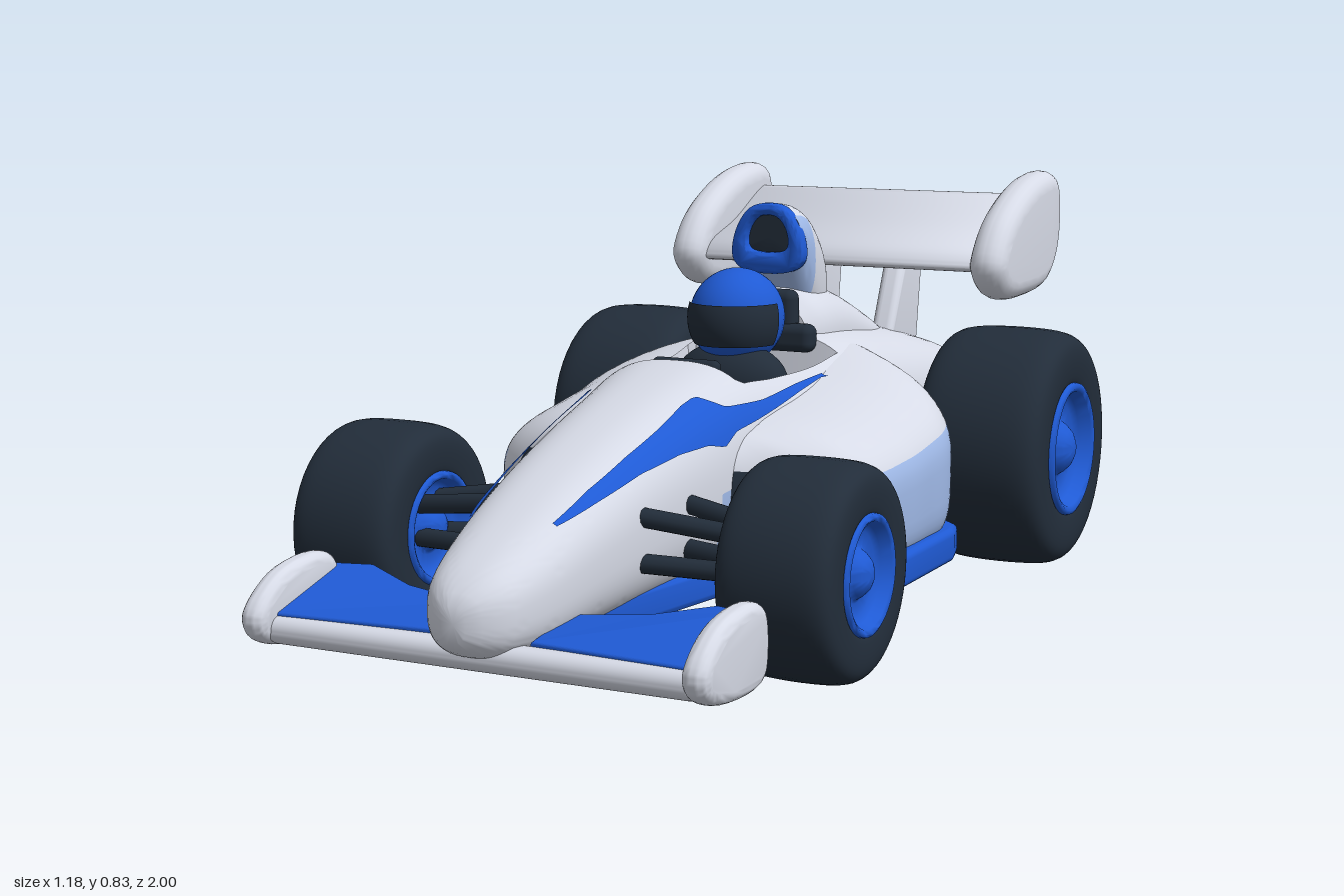
import * as THREE from 'three';
import { toCreasedNormals } from 'three/addons/utils/BufferGeometryUtils.js';
import { RoundedBoxGeometry } from 'three/addons/geometries/RoundedBoxGeometry.js';

const paint = (name, color) => Object.assign(new THREE.MeshStandardMaterial({ color }), { name });

// Smooth lookup in rows of [z, ...values], z falling.
function sample(rows, z) {
  let k = 0;
  while (k < rows.length - 2 && z < rows[k + 1][0]) k++;
  const a = rows[k], b = rows[k + 1], p = rows[k - 1] || a, q = rows[k + 2] || b;
  const d = b[0] - a[0], t = (z - a[0]) / d;
  return a.slice(1).map((v, j) => {
    const c = j + 1;
    const m0 = ((b[c] - p[c]) / (b[0] - p[0])) * d, m1 = ((q[c] - a[c]) / (q[0] - a[0])) * d;
    return (2 * t ** 3 - 3 * t * t + 1) * a[c] + (t ** 3 - 2 * t * t + t) * m0
      + (3 * t * t - 2 * t ** 3) * b[c] + (t ** 3 - t * t) * m1;
  });
}

// Superellipse loft along z; rows are [z, halfWidth, top, bottom], n and low are the upper and lower exponents.
// pick(z, elevation) gives a material index, warp(point, degrees) may move a vertex.
function loft(rows, n, low, rings, cols, pick = () => 0, warp = () => {}) {
  const pos = [], faces = [[], [], [], []];
  const z0 = rows[0][0], z1 = rows[rows.length - 1][0];
  const zAt = r => z0 + (z1 - z0) * r / rings;
  const elevation = i => Math.asin(Math.sin((i + 0.5) / cols * Math.PI * 2)) * 180 / Math.PI;
  for (let r = 0; r <= rings; r++) {
    const z = zAt(r), [w, top, bot] = sample(rows, z);
    for (let i = 0; i < cols; i++) {
      const a = i / cols * Math.PI * 2;
      const pow = v => Math.sign(v) * Math.abs(v) ** (2 / (Math.sin(a) < 0 ? low : n));
      const p = new THREE.Vector3(w * pow(Math.cos(a)), (top + bot) / 2 + (top - bot) / 2 * pow(Math.sin(a)), z);
      warp(p, i / cols * 360);
      pos.push(p.x, p.y, p.z);
    }
  }
  const centre = pos.length / 3;
  for (const z of [z0, z1]) { const [, t, b] = sample(rows, z); pos.push(0, (t + b) / 2, z); }
  for (let i = 0; i < cols; i++) {
    const j = (i + 1) % cols, last = rings * cols;
    for (let r = 0; r < rings; r++) {
      const a = r * cols + i, b = r * cols + j, c = a + cols, d = b + cols;
      faces[pick(zAt(r + 0.5), elevation(i))].push(a, c, b, b, c, d);
    }
    faces[pick(z0, elevation(i))].push(centre, i, j);
    faces[0].push(centre + 1, last + j, last + i);
  }
  const g = new THREE.BufferGeometry();
  g.setAttribute('position', new THREE.Float32BufferAttribute(pos, 3));
  g.setIndex(faces.flat());
  let start = 0;
  faces.forEach((f, m) => { if (f.length) g.addGroup(start, f.length, m); start += f.length; });
  return toCreasedNormals(g, 0.8);
}
// Half width of such a loft at height y.
function widthAt(rows, n, z, y) {
  if (z > rows[0][0]) return 0;
  const [w, top, bot] = sample(rows, z);
  const f = Math.min(1, Math.abs((2 * y - top - bot) / (top - bot)));
  return w * (1 - f ** n) ** (1 / n);
}

const smoothLoop = pts => new THREE.CatmullRomCurve3(pts.map(([x, y]) => new THREE.Vector3(x, y, 0)), true)
  .getPoints(48).slice(0, -1).map(p => new THREE.Vector2(p.x, p.y));
function extrude(pts, width, bevel, hole) {
  const shape = new THREE.Shape(pts);
  if (hole) shape.holes.push(new THREE.Path(hole));
  const g = new THREE.ExtrudeGeometry(shape, {
    depth: width - 2 * bevel, bevelThickness: bevel, bevelSize: bevel, bevelOffset: -bevel, bevelSegments: 5 });
  return g.translate(0, 0, bevel - width / 2);
}
// Side outline of [z, y] points, extruded across x.
function sidePlate(zy, width, bevel, smooth = true) {
  const pts = zy.map(([z, y]) => [-z, y]);
  const outline = smooth ? smoothLoop(pts) : pts.map(p => new THREE.Vector2(...p));
  return toCreasedNormals(extrude(outline, width, bevel).rotateY(Math.PI / 2), 0.8);
}
// Plan outline of [x, z] points, extruded up y.
const planSlab = (xz, height, bevel) => toCreasedNormals(
  extrude(xz.map(([x, z]) => new THREE.Vector2(x, -z)), height, bevel).rotateX(-Math.PI / 2), 0.8);
const mirrored = half => [...half, ...half.map(([x, y]) => [-x, y]).reverse()];

export function createModel() {
  const white = paint('bodyWhite', 0xd6dae6), blue = paint('racingBlue', 0x1f5ad4);
  const dark = paint('rubberDark', 0x222d3a), pale = paint('paleBlue', 0xa3bdec);
  const car = new THREE.Group();
  const add = (name, geo, mat, x = 0, y = 0, z = 0, parent = car) => {
    const m = new THREE.Mesh(geo, mat);
    m.name = name;
    m.position.set(x, y, z);
    parent.add(m);
    return m;
  };

  // Fuselage with sunken cockpit
  const hull = [[1, 0.025, 0.195, 0.13], [0.98, 0.058, 0.22, 0.11], [0.94, 0.09, 0.25, 0.09], [0.85, 0.117, 0.295, 0.08],
    [0.7, 0.139, 0.36, 0.085], [0.5, 0.16, 0.43, 0.09], [0.3, 0.182, 0.485, 0.09], [0.18, 0.2, 0.512, 0.09],
    [0.05, 0.215, 0.508, 0.09], [-0.12, 0.23, 0.51, 0.09], [-0.25, 0.245, 0.53, 0.09], [-0.35, 0.25, 0.53, 0.09],
    [-0.5, 0.25, 0.515, 0.1], [-0.65, 0.25, 0.495, 0.12], [-0.8, 0.245, 0.46, 0.19], [-0.84, 0.235, 0.445, 0.24], [-0.86, 0.2, 0.42, 0.27]];
  add('fuselage', loft(hull, 2.6, 2.6, 124, 72, (z, up) => (z < 0.32 && z > -0.76 && up < 0 ? 1 : 0), (p, a) => {
    if (a > 53 && a < 127 && p.z < 0.17 && p.z > -0.22) p.y = 0.37;
  }), [white, pale]);
  add('engineCover', loft([[-0.245, 0.1, 0.59, 0.4], [-0.29, 0.12, 0.615, 0.4], [-0.42, 0.125, 0.605, 0.4],
    [-0.56, 0.125, 0.55, 0.4], [-0.74, 0.1, 0.47, 0.4]], 2.2, 4, 24, 40), white);

  // Sidepods with inlets and pale side panels
  const pods = [[0.3, 0.175, 0.4, 0.1], [0.26, 0.25, 0.4, 0.09], [0.22, 0.345, 0.405, 0.08], [0.15, 0.415, 0.42, 0.08], [0, 0.44, 0.44, 0.08],
    [-0.1, 0.442, 0.457, 0.08], [-0.2, 0.44, 0.485, 0.08], [-0.28, 0.4, 0.505, 0.08], [-0.34, 0.31, 0.515, 0.09], [-0.46, 0.25, 0.49, 0.1]];
  add('sidepods', loft(pods, 2.4, 5, 60, 72, (z, up) => {
    if (z > 0.228) return up < -5 ? 3 : up < 25 ? 2 : 0;
    return z < 0.17 && z > -0.31 && up < 15 ? 1 : 0;
  }, p => {
    if (Math.abs(p.x) < 0.155 && p.z < 0.2 && p.z > -0.26) p.y = Math.min(p.y, 0.36);
  }), [white, pale, dark, blue]);

  // Jagged side stripes, rows of [z, low, high] laid on the bodywork
  const stripe = [[0.8, 0.299, 0.304], [0.7, 0.325, 0.343], [0.57, 0.356, 0.386], [0.45, 0.374, 0.422], [0.36, 0.378, 0.45],
    [0.31, 0.368, 0.462], [0.265, 0.392, 0.438], [0.15, 0.412, 0.438], [0, 0.435, 0.449], [-0.12, 0.45, 0.455]];
  for (const s of [1, -1]) {
    const pos = [], idx = [], U = 69, V = 8;
    for (let u = 0; u <= U; u++) {
      const z = 0.8 - 0.919 * u / U;
      const i = Math.max(1, stripe.findIndex(q => q[0] <= z)), A = stripe[i - 1], B = stripe[i];
      const t = (z - A[0]) / (B[0] - A[0]);
      for (let v = 0; v <= V; v++) {
        const lo = A[1] + (B[1] - A[1]) * t, hi = A[2] + (B[2] - A[2]) * t, y = lo + (hi - lo) * v / V;
        pos.push(s * (Math.max(widthAt(hull, 2.6, z, y), widthAt(pods, 2.4, z, y)) + 0.005), y + 0.005, z);
        const a = u * (V + 1) + v, c = a + V + 1;
        if (u < U && v < V) idx.push(...(s > 0 ? [a, c, a + 1, a + 1, c, c + 1] : [a, a + 1, c, a + 1, c + 1, c]));
      }
    }
    const g = new THREE.BufferGeometry();
    g.setAttribute('position', new THREE.Float32BufferAttribute(pos, 3));
    g.setIndex(idx);
    g.computeVertexNormals();
    add('sideStripe', g, blue);
  }

  // Floor and diffuser
  add('floor', planSlab(mirrored([[0.09, 0.78], [0.13, 0.5], [0.16, 0.31], [0.28, 0.255], [0.37, 0.21], [0.425, 0.16], [0.452, 0.08],
    [0.452, -0.2], [0.435, -0.26], [0.37, -0.32], [0.29, -0.36], [0.275, -0.76]]), 0.07, 0.015), blue, 0, 0.107, 0);
  add('diffuser', sidePlate([[-0.68, 0.08], [-0.8, 0.125], [-0.875, 0.25], [-0.83, 0.28], [-0.72, 0.16]], 0.53, 0.02), blue);
  add('diffuserBar', new THREE.CapsuleGeometry(0.022, 0.46, 6, 14).rotateZ(Math.PI / 2), blue, 0, 0.262, -0.862);
  const fin = sidePlate([[-0.66, 0.08], [-0.84, 0.115], [-0.885, 0.17], [-0.885, 0.25], [-0.82, 0.24]], 0.05, 0.02);
  for (const x of [-0.235, -0.08, 0.08, 0.235]) add('diffuserFin', fin, blue, x);

  // Tail lamps
  add('tailLampCentre', new RoundedBoxGeometry(0.1, 0.09, 0.07, 3, 0.02), blue, 0, 0.375, -0.85);
  add('tailLampLens', new RoundedBoxGeometry(0.05, 0.045, 0.03, 3, 0.01), blue, 0, 0.375, -0.88);
  for (const s of [1, -1]) add('tailLampSide', new THREE.SphereGeometry(0.042, 20, 14), blue, s * 0.165, 0.35, -0.848);

  // Air intake behind the driver, with a rounded surround
  const intake = [[-0.262, 0.074, 0.785, 0.655], [-0.3, 0.082, 0.79, 0.58], [-0.36, 0.08, 0.765, 0.5],
    [-0.42, 0.065, 0.695, 0.48], [-0.46, 0.03, 0.58, 0.48]];
  add('airIntake', loft(intake, 2.4, 2.4, 21, 40, (z, up) => {
    if (z > -0.263) return 2;
    return z > -0.315 && up < 45 ? 1 : 0;
  }), [white, pale, dark]);
  const surround = smoothLoop(mirrored([[0.055, 0.65], [0.082, 0.675], [0.073, 0.74], [0.035, 0.787]]));
  const mouth = smoothLoop(mirrored([[0.036, 0.693], [0.047, 0.705], [0.042, 0.74], [0.02, 0.765]]));
  add('intakeSurround', toCreasedNormals(extrude(surround, 0.036, 0.01, mouth), 0.8), blue, 0, 0, -0.262);

  // Driver and cockpit fittings
  const helmet = new THREE.Group();
  helmet.name = 'helmet';
  helmet.position.set(0, 0.568, -0.105);
  car.add(helmet);
  add('helmetShell', new THREE.SphereGeometry(0.1, 32, 24).scale(0.98, 1.02, 1.07), blue, 0, 0, 0, helmet);
  add('visor', new THREE.SphereGeometry(0.104, 32, 16, 0.1, Math.PI - 0.2, 1.25, 0.85).scale(0.98, 1.02, 1.07), dark, 0, 0, 0, helmet);
  add('shoulders', new THREE.SphereGeometry(1, 24, 16).scale(0.125, 0.08, 0.07), dark, 0, 0.44, -0.08);
  add('headrest', new RoundedBoxGeometry(0.25, 0.06, 0.05, 3, 0.02), dark, 0, 0.515, -0.222);
  add('headrestPad', new RoundedBoxGeometry(0.16, 0.09, 0.045, 3, 0.02), dark, 0, 0.57, -0.232);
  add('steeringWheel', new RoundedBoxGeometry(0.15, 0.05, 0.03, 3, 0.014).rotateX(-0.3), dark, 0, 0.485, 0.13);

  // Front wing
  add('frontWingBar', new RoundedBoxGeometry(0.88, 0.052, 0.06, 4, 0.024), white, 0, 0.09, 0.92);
  const frontEnd = sidePlate([[0.978, 0.125], [0.97, 0.085], [0.92, 0.058], [0.76, 0.05], [0.73, 0.075], [0.73, 0.175],
    [0.76, 0.2], [0.9, 0.188]], 0.052, 0.022);

  // Rear wing
  add('rearWingPlane', sidePlate([[-0.61, 0.635], [-0.63, 0.665], [-0.76, 0.71], [-0.93, 0.78], [-0.945, 0.765],
    [-0.79, 0.675], [-0.66, 0.625]], 0.74, 0.002), white);
  const rearEnd = sidePlate([[-0.575, 0.64], [-0.62, 0.72], [-0.72, 0.785], [-0.86, 0.828], [-0.97, 0.825], [-1, 0.76],
    [-0.985, 0.65], [-0.92, 0.58], [-0.78, 0.56], [-0.63, 0.575]], 0.085, 0.04);
  const strut = sidePlate([[-0.63, 0.45], [-0.73, 0.67], [-0.84, 0.71], [-0.8, 0.42]], 0.055, 0.018, false);

  // Wheels: lathed tyre and a dished hub on each face
  function wheel(name, R, w, x, y, z, h) {
    const g = new THREE.Group();
    g.name = name;
    g.position.set(x, y, z);
    car.add(g);
    const half = [[h, 0.88 * w], [h * 1.08, 0.96 * w], [0.76 * R, 0.99 * w], [0.9 * R, 0.93 * w], [0.975 * R, 0.72 * w], [R, 0.3 * w]];
    const pts = [...half.map(([r, a]) => [r, -a]), ...half.reverse()].map(p => new THREE.Vector2(...p));
    add('tyre', new THREE.LatheGeometry(new THREE.SplineCurve(pts).getPoints(44), 48).rotateZ(-Math.PI / 2), dark, 0, 0, 0, g);
    const dish = [[1.06, 0.86], [1.04, 1], [0.98, 1.03], [0.91, 0.99], [0.84, 0.82], [0.74, 0.75], [0.5, 0.73], [0.44, 0.75],
      [0.38, 0.84], [0.28, 0.94], [0.15, 1], [0, 1.01]];
    const hub = toCreasedNormals(new THREE.LatheGeometry(dish.map(([r, a]) => new THREE.Vector2(r * h, a * w)), 40).rotateZ(-Math.PI / 2), 1.1);
    for (const turn of [0, Math.PI]) add('hub', hub, blue, 0, 0, 0, g).rotation.z = turn;
  }

  // Round rod between two points
  const rod = (name, a, b, r, mat) => add(name, new THREE.TubeGeometry(
    new THREE.LineCurve3(new THREE.Vector3(...a), new THREE.Vector3(...b)), 1, r, 10), mat);

  for (const s of [1, -1]) {
    // Flap rises towards the rear, more so at the tip
    const flap = planSlab([[0.1, 0.91], [0.43, 0.93], [0.43, 0.73], [0.36, 0.71], [0.25, 0.755], [0.1, 0.775]]
      .map(([x, z]) => [s * x, z]), 0.018, 0.004);
    const fp = flap.attributes.position;
    for (let i = 0; i < fp.count; i++) fp.setY(i, fp.getY(i) + (0.93 - fp.getZ(i)) * (0.1 + 0.38 * Math.abs(fp.getX(i))));
    flap.computeVertexNormals();
    add('frontWingFlap', flap, blue, 0, 0.112, 0);
    add('frontWingEndplate', frontEnd, white, s * 0.445);
    add('rearWingEndplate', rearEnd, white, s * 0.367);
    add('rearWingStrut', strut, white, s * 0.1);
    wheel('frontWheel', 0.203, 0.114, s * 0.45, 0.204, 0.508, 0.107);
    wheel('rearWheel', 0.256, 0.143, s * 0.443, 0.262, -0.56, 0.137);
    for (const [y0, y1] of [[0.29, 0.255], [0.2, 0.19]]) {
      rod('suspensionArm', [s * 0.11, y0, 0.42], [s * 0.37, y1, 0.475], 0.019, dark);
      rod('suspensionArm', [s * 0.1, y0, 0.59], [s * 0.37, y1, 0.54], 0.019, dark);
    }
    rod('rearAxle', [s * 0.2, 0.27, -0.565], [s * 0.38, 0.27, -0.565], 0.035, white);
  }
  return car;
}
